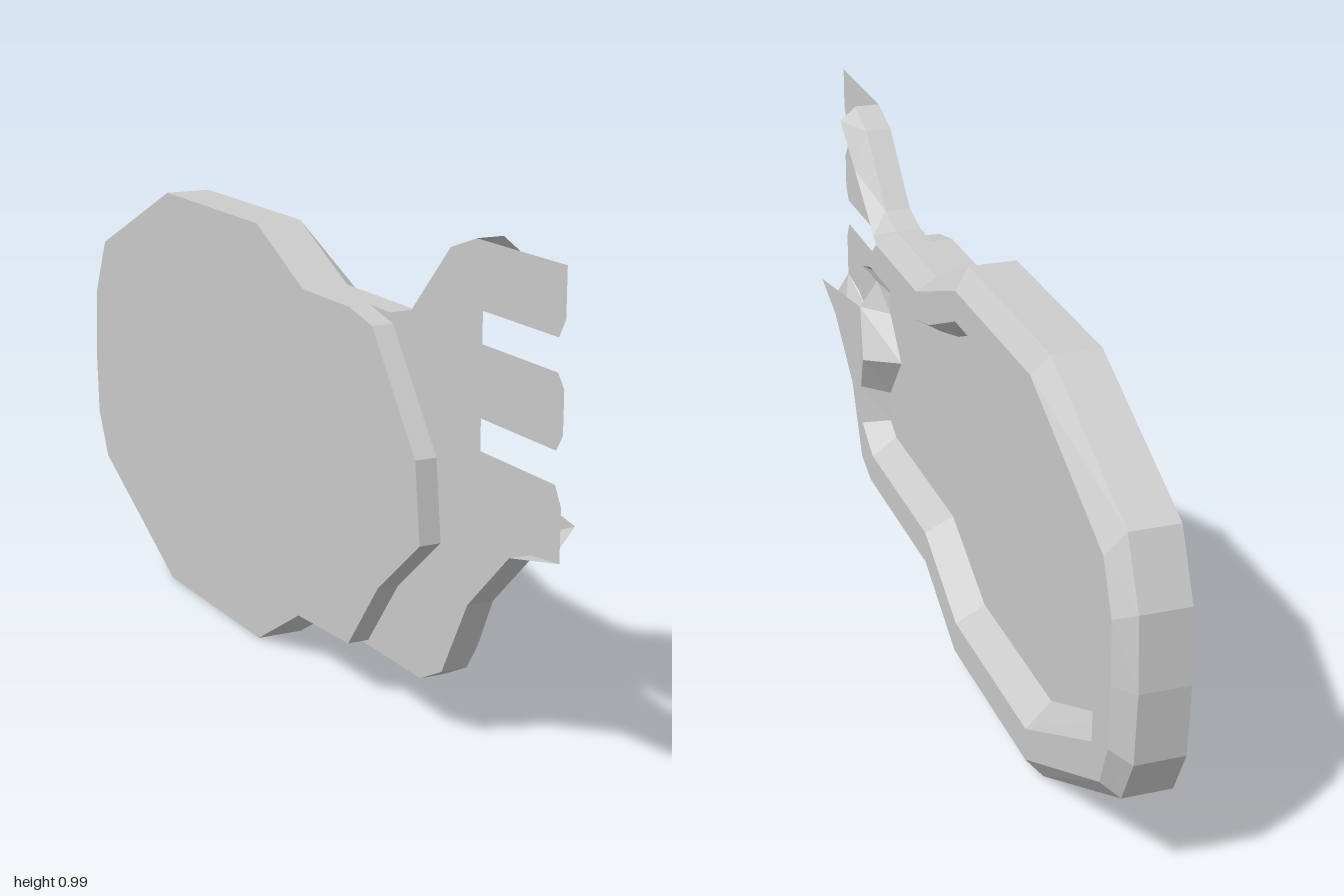
import * as THREE from 'three';

const BACK = -0.075, SHEET = -0.03, FLOOR = 0, SHOULDER = 0.025, FACE = 0.06;

// All outlines are [z, y] pairs, running clockwise as seen from +x.
const OUTER = [
  [0.71, 0.99], [0.62, 0.96], [0.48, 0.82], [0.40, 0.80], [0.12, 0.80], [-0.09, 0.90], [-0.55, 0.90],
  [-0.93, 0.73], [-0.99, 0.60], [-1, 0.45], [-0.99, 0.30], [-0.94, 0.20], [-0.55, 0], [-0.09, 0],
  [0.10, 0.11], [0.53, 0.11], [0.61, 0.15], [0.70, 0.31], [0.84, 0.44], [0.91, 0.465],
];
const BEVEL = [
  [0.71, 0.96], [0.60, 0.88], [0.46, 0.775], [0.44, 0.76], [0.15, 0.76], [-0.11, 0.86], [-0.54, 0.86],
  [-0.91, 0.68], [-0.955, 0.58], [-0.96, 0.45], [-0.955, 0.32], [-0.92, 0.23], [-0.54, 0.04], [-0.10, 0.04],
  [0.10, 0.15], [0.52, 0.15], [0.59, 0.18], [0.66, 0.34], [0.80, 0.46], [0.91, 0.505],
];
// Pocket edge at the face (optional third value overrides x) and at the floor
const POCKET_TOP = [
  [0.575, 0.62, 0.02], [0.55, 0.67], [0.49, 0.69], [0.18, 0.69], [0.06, 0.72], [-0.11, 0.795], [-0.53, 0.795],
  [-0.88, 0.63], [-0.88, 0.29], [-0.54, 0.11], [-0.11, 0.11], [0.10, 0.22], [0.50, 0.22],
  [0.58, 0.27], [0.585, 0.36], [0.53, 0.45, 0.07], [0.58, 0.56],
];
const POCKET_FLOOR = [
  [0.54, 0.60], [0.53, 0.64], [0.48, 0.655], [0.17, 0.655], [0.05, 0.69], [-0.12, 0.765], [-0.52, 0.765],
  [-0.85, 0.61], [-0.85, 0.31], [-0.52, 0.15], [-0.12, 0.15], [0.09, 0.255], [0.51, 0.255],
  [0.55, 0.28], [0.55, 0.35], [0.46, 0.46], [0.54, 0.55],
];

const at = (ring, x) => ring.map(([z, y, own]) => [own ?? x, y, z]);

const toShape = (ring) => new THREE.Shape(ring.map(([z, y]) => new THREE.Vector2(-z, y)));

// Band of quads between two rings of equal length
function band(a, b, closed = false) {
  const pos = [];
  const n = a.length;
  for (let i = 0; i < (closed ? n : n - 1); i++) {
    const j = (i + 1) % n;
    pos.push(...a[i], ...b[i], ...a[j], ...a[j], ...b[i], ...b[j]);
  }
  const g = new THREE.BufferGeometry();
  g.setAttribute('position', new THREE.Float32BufferAttribute(pos, 3));
  g.computeVertexNormals();
  return g;
}

// Flat panel facing +x
function panel(ring, x) {
  return new THREE.ShapeGeometry(toShape(ring)).rotateY(Math.PI / 2).translate(x, 0, 0);
}

export function createModel() {
  const group = new THREE.Group();
  const material = new THREE.MeshStandardMaterial({ color: 0xcccccc, flatShading: true, side: THREE.DoubleSide });
  const add = (name, geometry) => {
    const mesh = new THREE.Mesh(geometry, material);
    mesh.name = name;
    group.add(mesh);
  };

  // Solid back plate, with its own rounded end under the fork
  const plate = [
    [0.32, 0.80], ...OUTER.slice(4, 15),
    [0.32, 0.12], [0.44, 0.27], [0.60, 0.40], [0.58, 0.56], [0.41, 0.78],
  ];
  add('backPlate', new THREE.ExtrudeGeometry(toShape(plate), { depth: SHEET - BACK, bevelEnabled: false })
    .rotateY(Math.PI / 2).translate(BACK, 0, 0));

  // Thin fork sheet with three chamfered prongs
  const prongs = [
    [1, 0.475], [1, 0.575], [0.98, 0.61], [0.735, 0.61], [0.735, 0.67], [0.98, 0.67], [1, 0.70],
    [1, 0.78], [0.98, 0.805], [0.735, 0.805], [0.735, 0.865], [0.98, 0.865], [1, 0.90], [1, 0.99],
  ];
  add('forkSheet', panel([...prongs, ...OUTER.slice(0, 4), [0.3, 0.80], [0.3, 0.11], ...OUTER.slice(15)], SHEET));

  // Outer wall, running out to a point under the lowest prong
  const base = [...OUTER.slice(0, -1), [1, 0.475]];
  add('outerWall', band(at(base, SHEET), at(OUTER, SHOULDER)));
  add('outerBevel', band(at(OUTER, SHOULDER), at(BEVEL, FACE)));

  // Rim face between bevel and pocket, open towards the fork
  const rimRing = [...BEVEL.slice(3), ...POCKET_TOP.slice().reverse()];
  const rim = panel(rimRing, FACE);
  const p = rim.attributes.position;
  for (const [z, y, x] of POCKET_TOP.filter((q) => q.length === 3)) {
    for (let i = 0; i < p.count; i++) {
      if (Math.hypot(p.getZ(i) - z, p.getY(i) - y) < 1e-4) p.setX(i, x);
    }
  }
  rim.computeVertexNormals();
  add('rimFace', rim);

  // Sunken pocket
  add('pocketWall', band(at(POCKET_TOP, FACE), at(POCKET_FLOOR, FLOOR), true));
  add('pocketFloor', panel(POCKET_FLOOR, FLOOR));

  return group;
}
